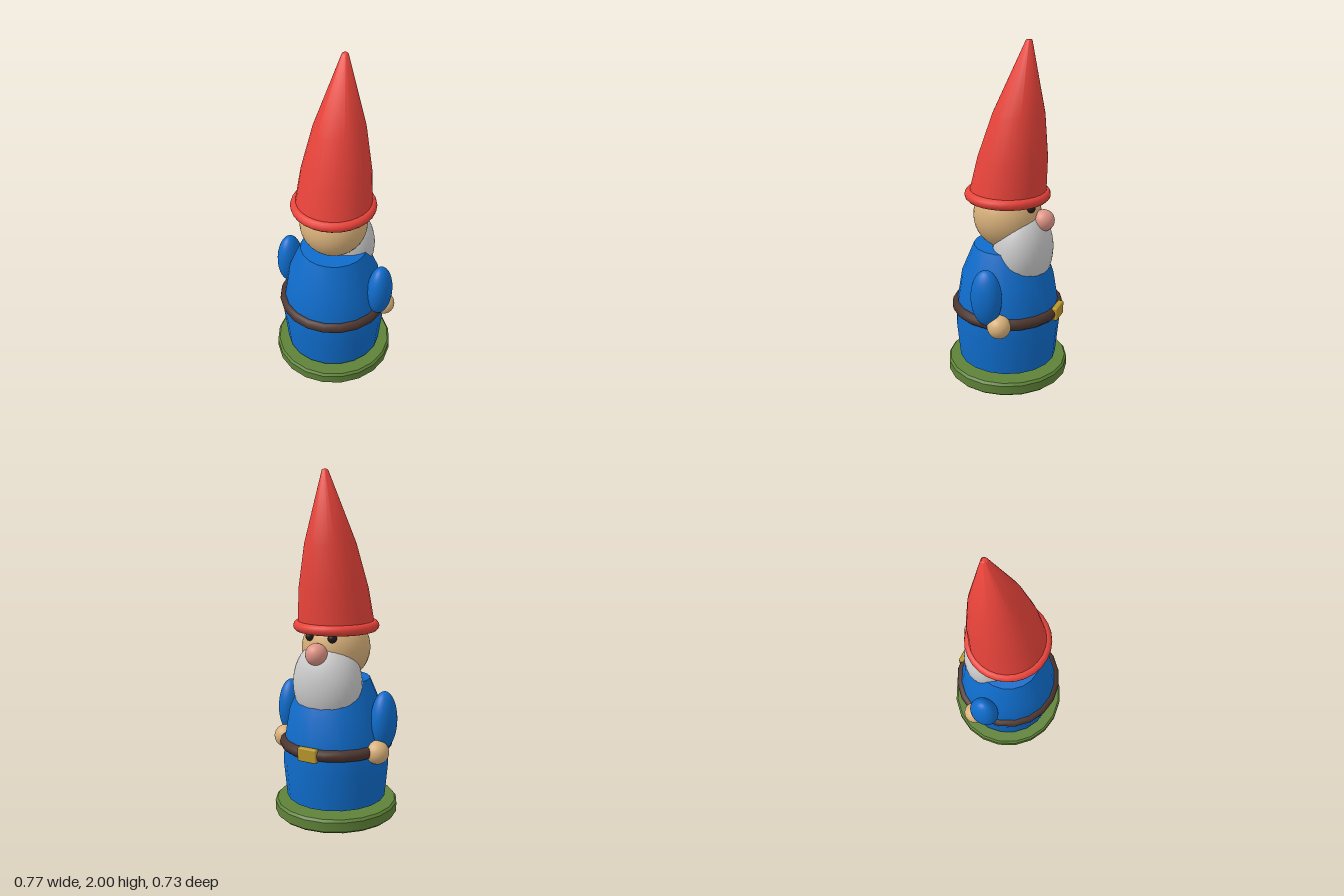
import * as THREE from 'three';
import { toCreasedNormals } from 'three/addons/utils/BufferGeometryUtils.js';
import { RoundedBoxGeometry } from 'three/addons/geometries/RoundedBoxGeometry.js';

const mat = (color) => new THREE.MeshStandardMaterial({ color });
const red = mat(0xe8433a), blue = mat(0x0f6ccb), skin = mat(0xd8b07a), white = mat(0xdededa);
const green = mat(0x5f8238), brown = mat(0x4b342e), gold = mat(0xb8962c);
const pink = mat(0xdf9486), dark = mat(0x221c1a);

export function createModel() {
  const gnome = new THREE.Group();

  const add = (name, geometry, material, x = 0, y = 0, z = 0) => {
    const mesh = new THREE.Mesh(geometry, material);
    mesh.name = name;
    mesh.position.set(x, y, z);
    gnome.add(mesh);
    return mesh;
  };
  const lathe = (points, sides) =>
    new THREE.LatheGeometry(points.map(([r, y]) => new THREE.Vector2(r, y)), sides);
  const ellipsoid = (rx, ry, rz) => new THREE.SphereGeometry(1, 32, 24).scale(rx, ry, rz);
  const ring = (radius, tube, sides) =>
    new THREE.TorusGeometry(radius, tube, 12, sides).rotateX(Math.PI / 2);

  // Round plinth with softened rims
  add('base', toCreasedNormals(lathe([
    [0, 0], [0.355, 0], [0.367, 0.012], [0.367, 0.066], [0.355, 0.08], [0, 0.08],
  ], 20), 0.6), green);

  // Coat with flat hem and shoulders
  add('body', toCreasedNormals(lathe([
    [0, 0.105], [0.295, 0.105], [0.315, 0.32], [0.305, 0.46], [0.275, 0.64], [0.2, 0.82], [0, 0.82],
  ], 20), 0.7), blue);

  // Belt and buckle
  add('belt', ring(0.302, 0.034, 20), brown, 0, 0.434, 0);
  add('buckle', new RoundedBoxGeometry(0.12, 0.08, 0.036, 2, 0.008), gold, 0, 0.435, -0.321);

  // Head and face, looking toward -z
  add('head', ellipsoid(0.2, 0.2, 0.2), skin, 0, 1.0, 0);
  add('beard', ellipsoid(0.21, 0.26, 0.172), white, 0, 0.8, -0.1);
  add('nose', ellipsoid(0.063, 0.063, 0.063), pink, 0, 0.992, -0.224);

  // Paired parts
  for (const [side, s] of [['left', 1], ['right', -1]]) {
    add(`${side}Boot`, ellipsoid(0.095, 0.06, 0.15), dark, s * 0.128, 0.1, 0);
    add(`${side}Arm`, ellipsoid(0.072, 0.17, 0.092), blue, s * 0.315, 0.6, 0);
    add(`${side}Hand`, ellipsoid(0.068, 0.068, 0.068), skin, s * 0.311, 0.43, -0.076);
    add(`${side}Eye`, ellipsoid(0.026, 0.026, 0.026), dark, s * 0.073, 1.08, -0.172);
  }

  // Hat: turned profile sheared so the tip leans toward the face
  const hat = lathe([
    [0, 1.13], [0.224, 1.13], [0.2, 1.35], [0.147, 1.6], [0.018, 1.995], [0.012, 2], [0, 2],
  ], 28);
  const pos = hat.attributes.position;
  for (let i = 0; i < pos.count; i++) {
    pos.setZ(i, pos.getZ(i) - 0.124 * (pos.getY(i) - 1.13) / 0.87);
  }
  add('hat', toCreasedNormals(hat, 0.7), red);
  add('hatBrim', ring(0.219, 0.031, 28), red, 0, 1.128, 0);

  return gnome;
}
